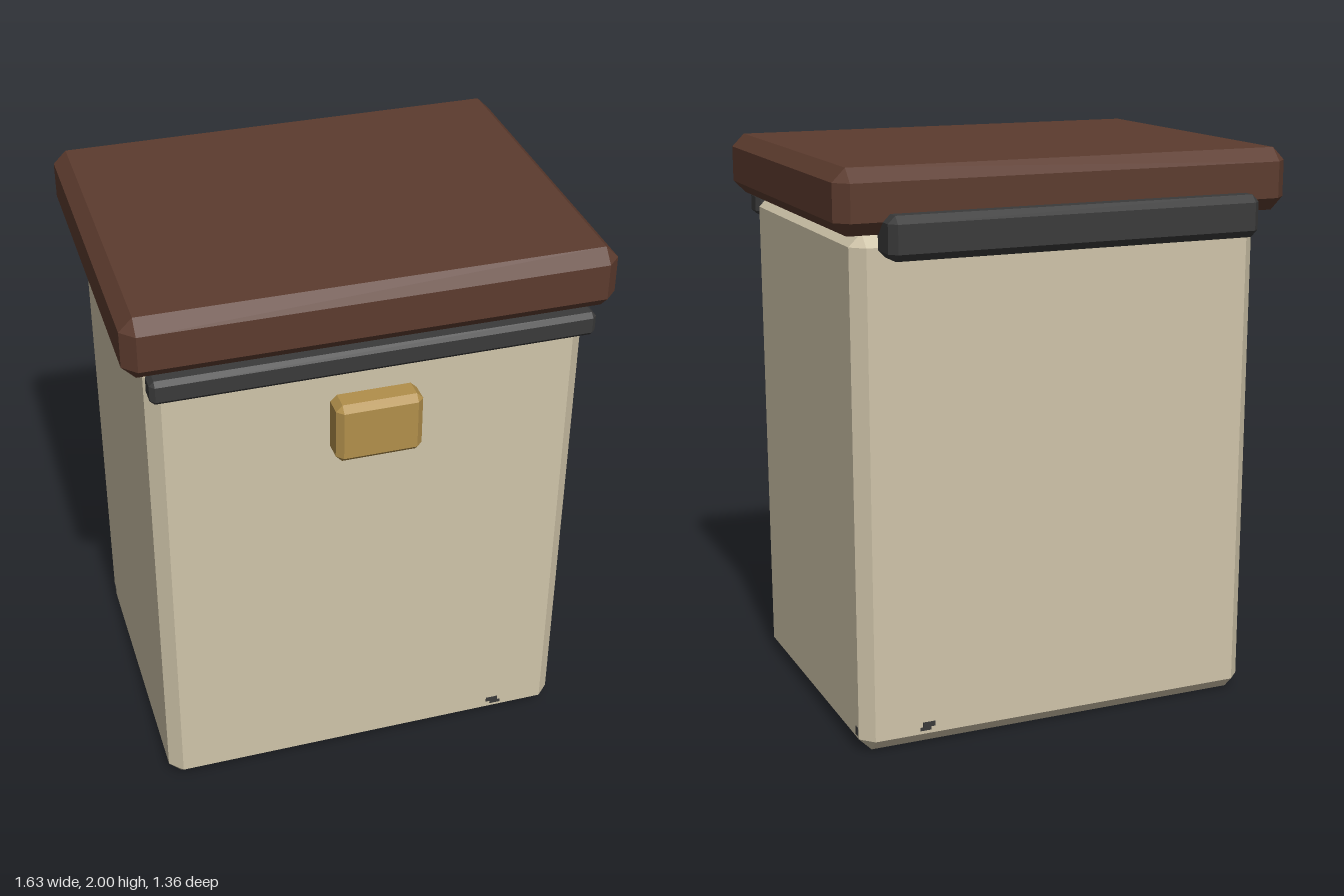
import * as THREE from 'three';
import { ConvexGeometry } from 'three/addons/geometries/ConvexGeometry.js';

const material = (name, color) => {
  const m = new THREE.MeshStandardMaterial({ color });
  m.name = name;
  return m;
};

// Box between two corners with every edge cut by a flat chamfer c
function chamferBox(min, max, c) {
  const points = [];
  for (const x of [0, 1]) for (const y of [0, 1]) for (const z of [0, 1]) {
    const side = [x, y, z];
    for (let axis = 0; axis < 3; axis++) {
      const p = side.map((s, i) => {
        const inset = i === axis ? 0 : c;
        return s ? max[i] - inset : min[i] + inset;
      });
      points.push(new THREE.Vector3(...p));
    }
  }
  return new ConvexGeometry(points);
}

export function createModel() {
  const group = new THREE.Group();
  group.name = 'liddedBin';
  const cream = material('cream', 0xcfc4a9);
  const brown = material('brown', 0x5c3b2e);
  const iron = material('iron', 0x3a3a3a);
  const brass = material('brass', 0xb18f4b);

  const add = (name, geometry, mat) => {
    const mesh = new THREE.Mesh(geometry, mat);
    mesh.name = name;
    group.add(mesh);
    return mesh;
  };

  // Main parts
  add('body', chamferBox([-0.74, 0, -0.535], [0.74, 1.783, 0.58], 0.045), cream);
  add('lid', chamferBox([-0.815, 1.785, -0.61], [0.815, 2, 0.65], 0.045), brown);
  add('frontBand', chamferBox([-0.74, 1.7, 0.57], [0.74, 1.785, 0.657], 0.016), iron);
  add('hinge', chamferBox([-0.665, 1.71, -0.68], [0.665, 1.855, -0.535], 0.025), iron);
  add('latch', chamferBox([-0.147, 1.377, 0.575], [0.147, 1.595, 0.683], 0.022), brass);

  // Small dark marks near the base, as thin plates
  const mark = (w, h, d, x, y, z) =>
    add('baseMark', new THREE.BoxGeometry(w, h, d), iron).position.set(x, y, z);
  for (const z of [0.58, -0.535]) {
    mark(0.045, 0.018, 0.004, 0.5, 0.078, z);
    mark(0.04, 0.012, 0.004, 0.513, 0.063, z);
  }
  for (const x of [-0.74, 0.74]) mark(0.004, 0.03, 0.022, x, 0.07, -0.472);
  mark(0.03, 0.002, 0.03, -0.55, 0, 0.22);
  mark(0.045, 0.002, 0.03, -0.61, 0, 0.19);

  return group;
}
